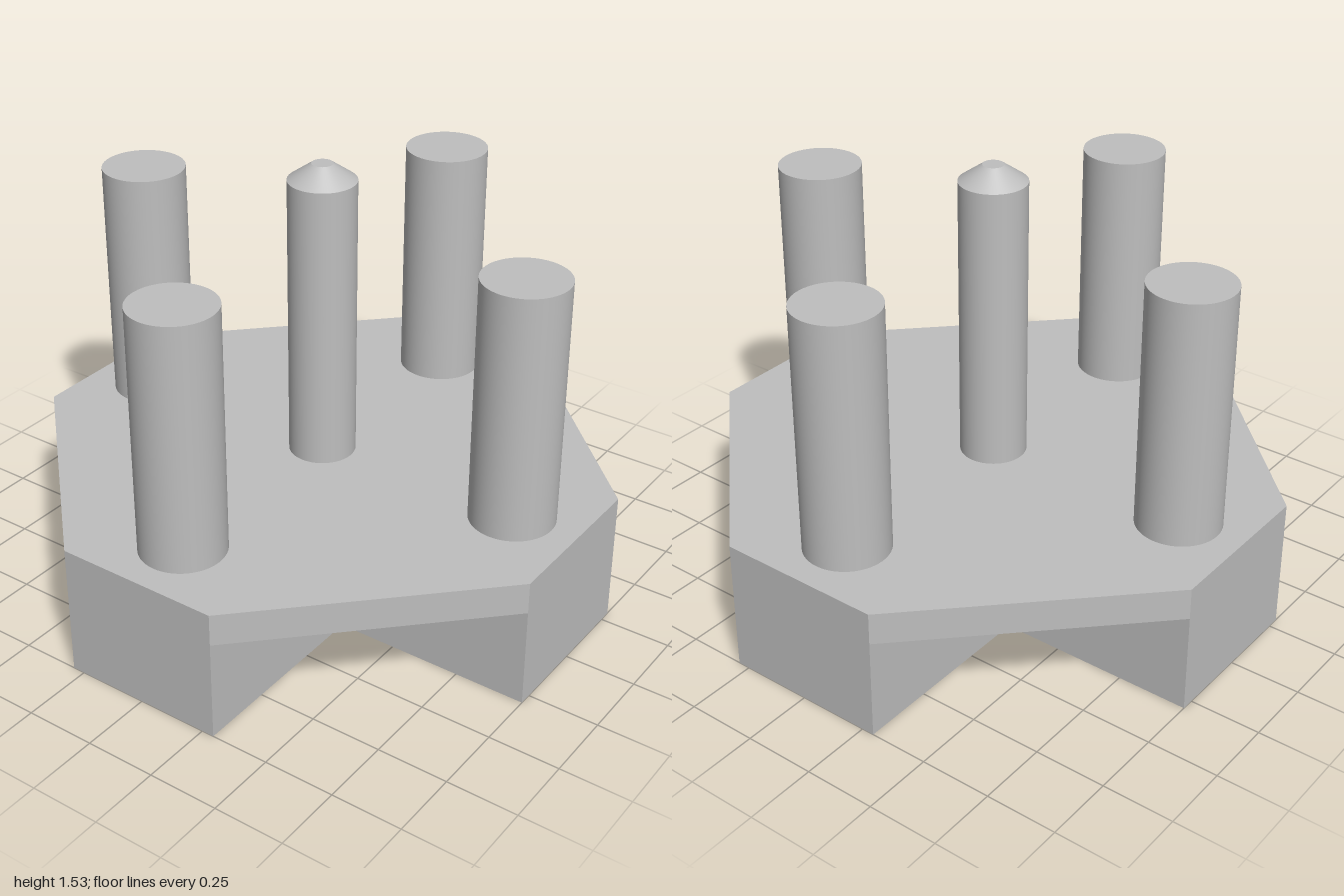
import * as THREE from 'three';

const W = 0.294;        // half width of the cross arms
const PLATE_Y = 0.356;  // underside of the plate
const TOP_Y = 0.468;    // upper face of the plate

export function createModel() {
  const model = new THREE.Group();
  const grey = new THREE.MeshStandardMaterial({ color: 0xbebebe });
  grey.name = 'plain grey';

  const add = (name, geometry, x = 0, y = 0, z = 0) => {
    const mesh = new THREE.Mesh(geometry, grey);
    mesh.name = name;
    mesh.position.set(x, y, z);
    model.add(mesh);
  };

  // Upright prism from a plan outline
  const prism = (points, height) => {
    const shape = new THREE.Shape(points.map(([x, y]) => new THREE.Vector2(x, y)));
    return new THREE.ExtrudeGeometry(shape, { depth: height, bevelEnabled: false }).rotateX(-Math.PI / 2);
  };

  // Repeat corner points around the four quarters
  const quarters = (points) => [0, 1, 2, 3].flatMap((q) => points.map(([x, y]) =>
    [[x, y], [-y, x], [-x, -y], [y, -x]][q]));

  // Cross-shaped foot and the octagonal plate on it
  add('crossBase', prism(quarters([[1, -W], [1, W], [W, W]]), PLATE_Y));
  add('topPlate', prism(quarters([[1, -W], [1, W]]), TOP_Y - PLATE_Y), 0, PLATE_Y);

  // Four pegs, one over each arm
  const pegHeight = 1.336 - TOP_Y;
  const peg = new THREE.CylinderGeometry(0.146, 0.146, pegHeight, 64);
  for (const [name, x, z] of [['leftPeg', 1, 0], ['rightPeg', -1, 0], ['frontPeg', 0, 1], ['backPeg', 0, -1]]) {
    add(name, peg, x * 0.764, TOP_Y + pegHeight / 2, z * 0.764);
  }

  // Taller, thinner centre pin with a blunt conical tip
  const pinTop = 1.472, tipTop = 1.529;
  add('centrePin', new THREE.CylinderGeometry(0.116, 0.116, pinTop - TOP_Y, 64, 1, true), 0, (pinTop + TOP_Y) / 2);
  add('pinTip', new THREE.CylinderGeometry(0.036, 0.116, tipTop - pinTop, 64), 0, (pinTop + tipTop) / 2);

  return model;
}
